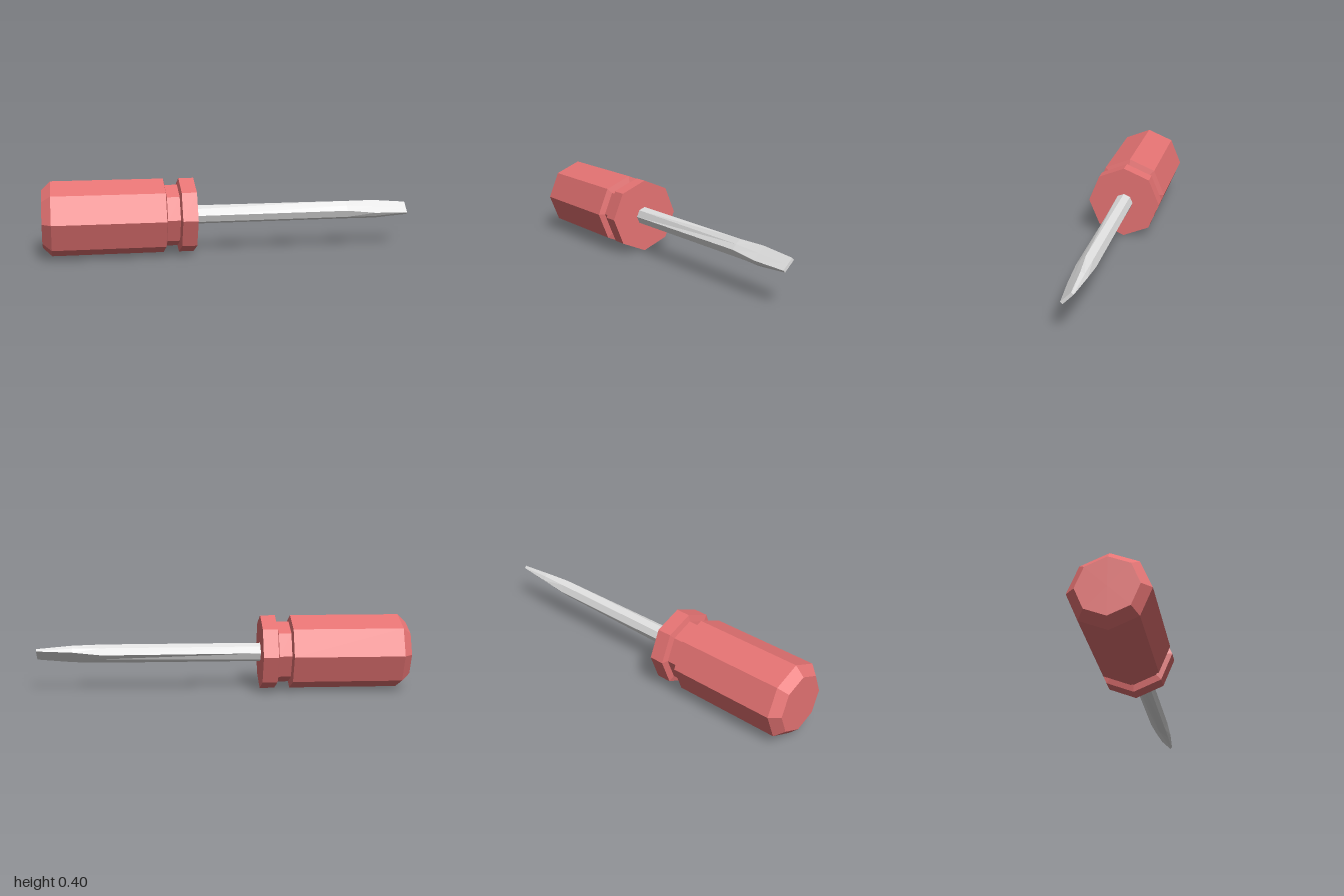
import * as THREE from 'three';

const AXIS_Y = 0.2;

// Lofts eight-sided sections along x; w is the blade width axis, t its thickness axis (both at 45 degrees)
function loftShaft(sections) {
  const rings = sections.map(({ x, tip, corner, ridge }) => {
    const [cw, ct] = corner;
    const outline = [[tip, 0], [cw, ct], [0, ridge], [-cw, ct], [-tip, 0], [-cw, -ct], [0, -ridge], [cw, -ct]];
    return outline.map(([w, t]) => [x, (w + t) * Math.SQRT1_2, (t - w) * Math.SQRT1_2]);
  });
  const pos = [];
  const tri = (...pts) => pts.forEach((p) => pos.push(...p));
  for (let s = 0; s < rings.length - 1; s++) {
    for (let k = 0; k < 8; k++) {
      const n = (k + 1) % 8;
      const a = rings[s][k], b = rings[s][n], c = rings[s + 1][k], d = rings[s + 1][n];
      tri(a, b, c);
      tri(b, d, c);
    }
  }
  // End caps
  const first = rings[0], last = rings[rings.length - 1];
  for (let k = 1; k < 7; k++) {
    tri(last[0], last[k], last[k + 1]);
    tri(first[0], first[k + 1], first[k]);
  }
  const geo = new THREE.BufferGeometry();
  geo.setAttribute('position', new THREE.Float32BufferAttribute(pos, 3));
  geo.computeVertexNormals();
  return geo;
}

export function createModel() {
  const red = new THREE.MeshStandardMaterial({ color: 0xe57373 });
  red.name = 'handleRed';
  red.flatShading = true;
  const steel = new THREE.MeshStandardMaterial({ color: 0xe0e0e0 });
  steel.name = 'steelGrey';
  steel.flatShading = true;

  const group = new THREE.Group();
  group.name = 'screwdriver';

  // Octagonal handle with a bevelled butt and a grip groove: [radius, x]
  const profile = [
    [0, -1], [0.153, -1], [0.2, -0.953], [0.2, -0.363], [0.165, -0.355],
    [0.165, -0.288], [0.2, -0.28], [0.2, -0.2], [0, -0.2],
  ].map(([r, x]) => new THREE.Vector2(r, x));
  const handle = new THREE.Mesh(new THREE.LatheGeometry(profile, 8), red);
  handle.name = 'handle';
  handle.rotation.z = -Math.PI / 2;
  handle.position.y = AXIS_Y;
  group.add(handle);

  // Octagonal shaft flattening into a slotted blade
  const shaft = new THREE.Mesh(loftShaft([
    { x: -0.2, tip: 0.05, corner: [0.0354, 0.0354], ridge: 0.05 },
    { x: 0.65, tip: 0.049, corner: [0.0335, 0.0365], ridge: 0.038 },
    { x: 0.81, tip: 0.049, corner: [0.044, 0.023], ridge: 0.0235 },
    { x: 1, tip: 0.037, corner: [0.037, 0.0078], ridge: 0.0078 },
  ]), steel);
  shaft.name = 'shaft';
  shaft.position.y = AXIS_Y;
  group.add(shaft);

  return group;
}
